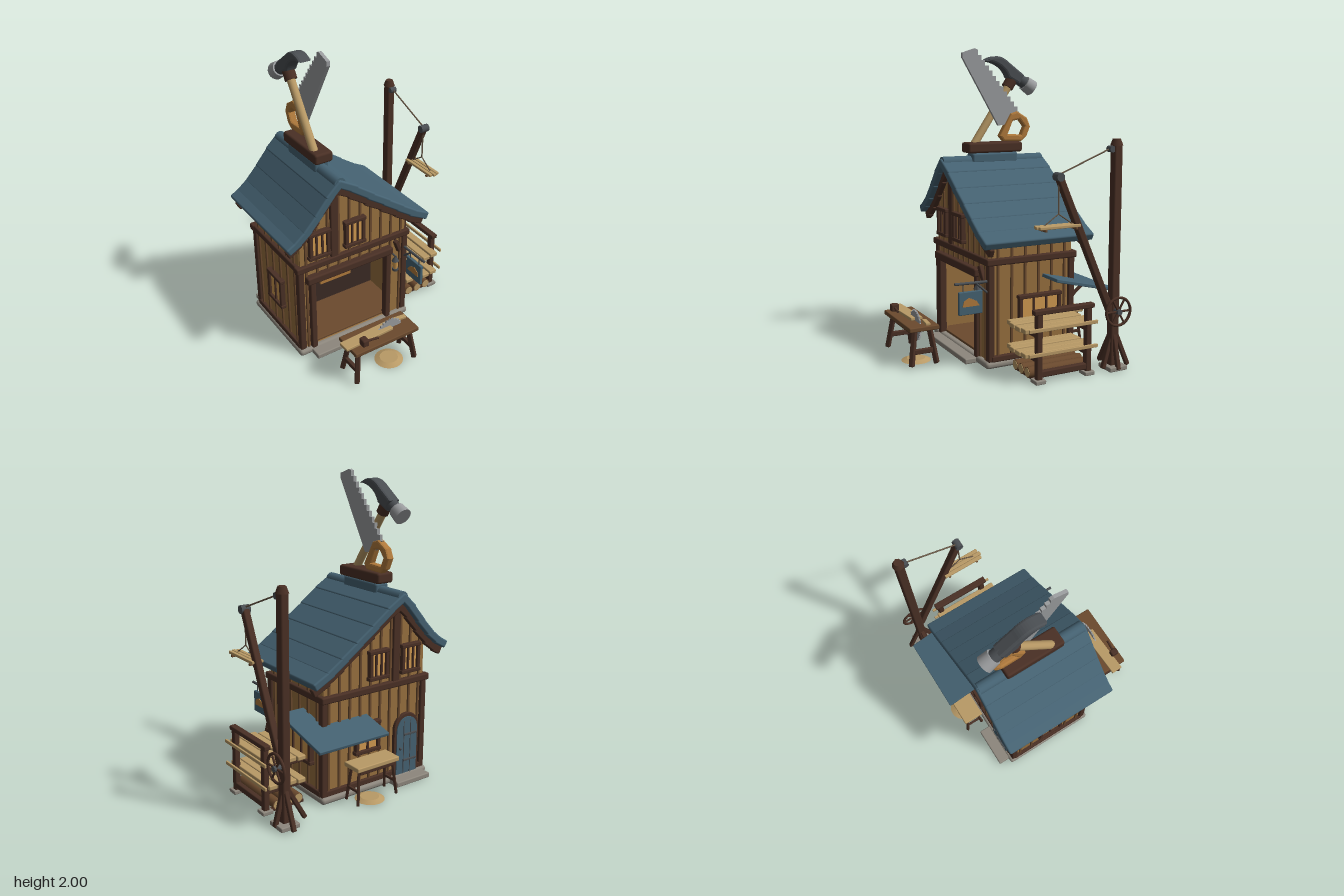
import * as THREE from 'three';
import { RoundedBoxGeometry } from 'three/addons/geometries/RoundedBoxGeometry.js';

const DARK = 0x4a3025, MID = 0x6b4a2e, WALL = 0x98713f, TAN = 0xb99a66, ORANGE = 0xb07a3c, PANE = 0xd09a50;
const BLUE = 0x456272, STONE = 0x8d877d, STEEL = 0x9a9c9e, IRON = 0x4a4e52, ROPE = 0x6b5a48, SHADE = 0x3a2a24;
const mats = {};
const mat = (c) => (mats[c] ??= new THREE.MeshStandardMaterial({ color: c }));
const V = (p) => new THREE.Vector3(...p);

export function createModel() {
  const root = new THREE.Group();
  root.name = 'workshop';
  let target = root;
  const add = (name, color, geo) => {
    const m = new THREE.Mesh(geo, mat(color));
    m.name = name;
    target.add(m);
    return m;
  };
  const group = (name, build) => {
    const g = new THREE.Group(), previous = target;
    g.name = name;
    previous.add(g);
    target = g;
    build();
    target = previous;
    return g;
  };
  // softly rounded box given by its centre
  const box = (name, color, w, h, d, x, y, z) => {
    const m = add(name, color, new RoundedBoxGeometry(w, h, d, 2, Math.min(w, h, d) * 0.22));
    m.position.set(x, y, z);
    return m;
  };
  // squared beam from a to b
  const beam = (name, color, a, b, w, h = w) => {
    const m = box(name, color, w, h, V(a).distanceTo(V(b)), 0, 0, 0);
    m.position.copy(V(a)).lerp(V(b), 0.5);
    m.lookAt(V(b));
    return m;
  };
  // round rod from a to b
  const rod = (name, color, a, b, r, r2 = r, seg = 14) => {
    const d = V(b).sub(V(a));
    const m = add(name, color, new THREE.CylinderGeometry(r2, r, d.length(), seg));
    m.position.copy(V(a)).addScaledVector(d, 0.5);
    m.quaternion.setFromUnitVectors(new THREE.Vector3(0, 1, 0), d.normalize());
    return m;
  };
  const shapeOf = (pts) => new THREE.Shape(pts.map((p) => new THREE.Vector2(...p)));
  // plate cut from an outline, centred in its thickness
  const plate = (name, color, shape, depth, bevel = 0, hole) => {
    if (hole) shape.holes.push(new THREE.Path(hole.map((p) => new THREE.Vector2(...p))));
    const geo = new THREE.ExtrudeGeometry(shape, { depth: depth - 2 * bevel, bevelEnabled: bevel > 0, bevelSize: bevel, bevelThickness: bevel, bevelOffset: -bevel, bevelSegments: 2 });
    return add(name, color, geo.translate(0, 0, bevel - depth / 2));
  };
  // plate whose outline is given as (z, y)
  const sidePlate = (name, color, shape, depth, x, bevel, hole) => {
    const m = plate(name, color, shape, depth, bevel, hole);
    m.rotation.y = -Math.PI / 2;
    m.position.x = x;
    return m;
  };

  // foundation and steps
  const base = box('foundation', STONE, 0.86, 0.045, 0.66, -0.155, 0.0225, -0.12);
  base.geometry = new RoundedBoxGeometry(0.86, 0.045, 0.66, 3, 0.02);
  box('frontStep', STONE, 0.62, 0.035, 0.14, -0.19, 0.0175, 0.215);
  box('backStep', STONE, 0.28, 0.035, 0.12, -0.405, 0.0175, -0.465);

  // walls
  const gable = () => shapeOf([[-0.55, 0.03], [0.245, 0.03], [0.245, 0.82], [-0.3, 1.2], [-0.55, 0.94]]);
  plate('frontWall', WALL, gable(), 0.03, 0, [[-0.47, 0.045], [-0.47, 0.58], [0.11, 0.58], [0.11, 0.045]]).position.z = 0.165;
  plate('backWall', WALL, gable(), 0.03).position.z = -0.4;
  box('leftWall', WALL, 0.03, 0.8, 0.57, 0.235, 0.43, -0.12);
  box('rightWall', WALL, 0.03, 0.91, 0.57, -0.54, 0.485, -0.12);

  // inside of the shop
  box('shopFloor', MID, 0.77, 0.02, 0.36, -0.15, 0.05, -0.01);
  box('shopBackWall', SHADE, 0.77, 0.58, 0.02, -0.15, 0.33, -0.185);
  box('shopCeiling', SHADE, 0.77, 0.02, 0.36, -0.15, 0.61, -0.01);
  box('toolBoard', ORANGE, 0.25, 0.24, 0.02, -0.09, 0.33, -0.165);
  box('hangingBlade', STEEL, 0.11, 0.035, 0.012, -0.135, 0.375, -0.15).rotation.z = -0.2;
  box('hangingChisel', DARK, 0.02, 0.12, 0.015, -0.025, 0.37, -0.15);

  // timber frame
  for (const z of [0.17, -0.41]) {
    for (const x of [-0.55, 0.245]) box('cornerPost', DARK, 0.045, 0.64, 0.045, x, 0.36, z);
    box('eaveBeam', DARK, 0.86, 0.045, 0.05, -0.155, 0.68, z + 0.01 * Math.sign(z));
    box('kingPost', DARK, 0.055, 0.5, 0.035, -0.305, 0.94, z + 0.012 * Math.sign(z));
  }
  for (const x of [-0.557, 0.252]) {
    box('sideBeam', DARK, 0.045, 0.045, 0.62, x, 0.68, -0.12);
    box('sillBeam', DARK, 0.04, 0.04, 0.58, x, 0.06, -0.12);
  }
  box('sillBeam', DARK, 0.8, 0.04, 0.035, -0.155, 0.06, -0.415);
  box('openingHeader', DARK, 0.65, 0.055, 0.06, -0.195, 0.59, 0.195);
  for (const x of [-0.475, 0.105]) box('openingPost', DARK, 0.04, 0.55, 0.05, x, 0.31, 0.185);
  beam('cornerBrace', DARK, [0.2, 0.55, 0.19], [0.16, 0.645, 0.2], 0.03);

  // wall battens, stopped under the roof or over the opening
  const under = (x) => (x < -0.3 ? 1.2 + (x + 0.3) * 1.04 : 1.2 - (x + 0.3) * 0.7);
  for (let i = 0; i < 10; i++) {
    const x = -0.51 + i * 0.08, top = under(x) - 0.02, open = x > -0.48 && x < 0.11;
    const low = open ? 0.6 : 0.04;
    box('frontBatten', MID, 0.017, top - low, 0.016, x, (top + low) / 2, 0.183);
    box('backBatten', MID, 0.017, top - 0.04, 0.016, x, (top + 0.04) / 2, -0.418);
  }
  for (let i = 0; i < 6; i++) {
    const z = -0.36 + i * 0.096;
    box('sideBatten', MID, 0.016, 0.76, 0.017, 0.253, 0.43, z);
    box('sideBatten', MID, 0.016, 0.86, 0.017, -0.558, 0.48, z);
  }

  // windows and door are built facing +z, then turned to their wall
  const windowAt = (x, y, z, turn, w, h, panes) => {
    const g = group('window', () => {
      box('pane', PANE, w, h, 0.02, 0, 0, 0.01);
      for (const s of [-1, 1]) {
        box('frameSide', DARK, 0.025, h + 0.02, 0.035, s * w / 2, 0, 0.018);
        box('frameRail', DARK, w + 0.035, 0.025, 0.04, 0, s * h / 2, 0.018);
      }
      for (let i = 1; i < panes; i++) box('mullion', DARK, 0.014, h, 0.03, -w / 2 + (w * i) / panes, 0, 0.016);
    });
    g.position.set(x, y, z);
    g.rotation.y = turn;
  };
  for (const x of [-0.42, -0.16]) {
    windowAt(x, 0.835, 0.18, 0, 0.125, 0.17, 3);
    windowAt(x, 0.835, -0.415, Math.PI, 0.125, 0.17, 3);
  }
  windowAt(0.25, 0.34, -0.17, Math.PI / 2, 0.28, 0.2, 3);
  windowAt(-0.555, 0.36, -0.12, -Math.PI / 2, 0.16, 0.2, 2);
  windowAt(-0.08, 0.37, -0.415, Math.PI, 0.17, 0.18, 2);
  const door = group('backDoor', () => {
    const arch = (r, h) => {
      const s = new THREE.Shape();
      s.moveTo(-r, 0).lineTo(r, 0).lineTo(r, h).absarc(0, h, r, 0, Math.PI).lineTo(-r, 0);
      return s;
    };
    plate('doorFrame', DARK, arch(0.105, 0.32), 0.04, 0.006);
    plate('doorLeaf', BLUE, arch(0.085, 0.315), 0.052);
    for (const x of [-0.028, 0.028]) box('doorGroove', IRON, 0.006, 0.37, 0.01, x, 0.19, 0.024);
    for (const y of [0.1, 0.28]) box('doorHinge', IRON, 0.11, 0.014, 0.012, 0.025, y, 0.028);
    add('doorKnob', IRON, new THREE.SphereGeometry(0.01, 10, 8)).position.set(-0.06, 0.19, 0.032);
  });
  door.position.set(-0.41, 0.035, -0.415);
  door.rotation.y = Math.PI;

  // roof: overlapping rows of shingles along the curved slope, with bargeboards beneath
  group('roof', () => {
    const slopes = [
      [[-0.305, 1.25], [-0.37, 1.185], [-0.45, 1.085], [-0.53, 0.995], [-0.6, 0.935], [-0.65, 0.905]],
      [[-0.295, 1.25], [-0.2, 1.19], [-0.08, 1.1], [0.04, 1.015], [0.15, 0.935], [0.25, 0.865], [0.35, 0.81]],
    ];
    slopes.forEach((pts) => {
      pts.slice(1).forEach((q, i) => {
        const p = pts[i], dx = q[0] - p[0], dy = q[1] - p[1], len = Math.hypot(dx, dy);
        const row = box('roofRow', BLUE, len + 0.045, 0.052, 0.775, (p[0] + q[0]) / 2, (p[1] + q[1]) / 2, -0.118);
        row.rotation.z = Math.atan(dy / dx) + 0.03 * Math.sign(dx);
        for (const z of [0.215, -0.455]) beam('bargeboard', DARK, [p[0] - dx * 0.08, p[1] - 0.055, z], [q[0] + dx * 0.08, q[1] - 0.055, z], 0.035, 0.055);
      });
    });
    rod('ridgeCap', BLUE, [-0.298, 1.252, 0.255], [-0.298, 1.252, -0.49], 0.04);
    box('ridgeSaddle', BLUE, 0.1, 0.07, 0.34, -0.298, 1.275, -0.12);
  });

  // rooftop emblem: giant handsaw and hammer on a plinth
  group('rooftopTools', () => {
    box('plinth', DARK, 0.125, 0.07, 0.405, -0.3, 1.345, -0.118);
    const blade = [[-0.15, 1.49], [0.115, 1.94], [0.115, 1.97], [0.025, 2]];
    for (let i = 0; i < 12; i++) {
      const t = (i + 0.35) / 12, z = 0.025 - 0.325 * t, y = 2 - 0.41 * t;
      blade.push([z - 0.012, y + 0.004], [z - 0.012, y - 0.03]);
    }
    blade.push([-0.31, 1.58], [-0.24, 1.5]);
    sidePlate('sawBlade', STEEL, shapeOf(blade.reverse()), 0.022, -0.278);
    sidePlate('sawHandle', ORANGE,
      shapeOf([[-0.155, 1.42], [-0.185, 1.385], [-0.32, 1.38], [-0.36, 1.41], [-0.39, 1.48], [-0.365, 1.54], [-0.29, 1.585], [-0.24, 1.57]]),
      0.055, -0.278, 0.012, [[-0.215, 1.43], [-0.255, 1.52], [-0.305, 1.53], [-0.345, 1.48], [-0.32, 1.425]]);
    rod('hammerHandle', TAN, [-0.325, 1.36, 0.01], [-0.325, 1.77, -0.265], 0.027);
    rod('hammerCollar', DARK, [-0.325, 1.745, -0.245], [-0.325, 1.805, -0.285], 0.04);
    const head = new THREE.Shape();
    head.moveTo(-0.06, 1.92);
    head.quadraticCurveTo(-0.16, 1.99, -0.25, 1.91).lineTo(-0.36, 1.83).lineTo(-0.325, 1.765).lineTo(-0.24, 1.81);
    head.quadraticCurveTo(-0.2, 1.91, -0.06, 1.92);
    sidePlate('hammerHead', IRON, head, 0.085, -0.325, 0.014);
    rod('hammerNeck', IRON, [-0.325, 1.81, -0.32], [-0.325, 1.768, -0.39], 0.04);
    rod('hammerFace', STEEL, [-0.325, 1.776, -0.378], [-0.325, 1.738, -0.438], 0.05, 0.056, 18);
  });

  // awning over the back corner with props
  beam('awning', BLUE, [0.17, 0.56, -0.2], [0.17, 0.455, -0.635], 0.52, 0.022);
  for (const x of [-0.03, 0.2]) beam('awningStrut', DARK, [x, 0.36, -0.42], [x, 0.47, -0.56], 0.02);

  // trestle benches
  const trestle = (name, color, x0, x1, z0, z1, y, leg) => group(name, () => {
    const cx = (x0 + x1) / 2, cz = (z0 + z1) / 2, dx = (x1 - x0) / 2, dz = (z1 - z0) / 2;
    box('benchTop', color, 2 * dx, 0.03, 2 * dz, cx, y, cz);
    for (const s of [-1, 1]) {
      for (const t of [-1, 1]) beam('benchLeg', DARK, [cx + s * dx * 0.8, y - 0.01, cz + t * dz * 0.5], [cx + s * dx * 0.93, 0.012, cz + t * dz * 0.85], leg);
      box('legRail', DARK, leg * 0.8, leg, dz * 1.3, cx + s * dx * 0.88, 0.1, cz);
      box('topRail', DARK, dx * 1.6, 0.03, 0.018, cx, y - 0.03, cz + s * dz * 0.6);
    }
  });
  trestle('frontBench', MID, -0.43, 0.05, 0.43, 0.63, 0.25, 0.032);
  trestle('backBench', TAN, -0.21, 0.12, -0.6, -0.46, 0.25, 0.018);
  box('benchPlank', TAN, 0.36, 0.02, 0.08, -0.285, 0.275, 0.53).rotation.y = 0.04;
  box('offcut', TAN, 0.1, 0.018, 0.03, -0.015, 0.272, 0.495).rotation.y = -0.12;
  box('malletHead', DARK, 0.045, 0.05, 0.055, -0.343, 0.3, 0.588);
  rod('malletHandle', DARK, [-0.33, 0.3, 0.59], [-0.245, 0.295, 0.6], 0.008);
  const sawDisc = new THREE.Shape();
  for (let i = 0; i < 48; i++) {
    const a = (i / 48) * Math.PI * 2, r = i % 2 ? 0.088 : 0.1;
    sawDisc[i ? 'lineTo' : 'moveTo'](Math.cos(a) * r, Math.sin(a) * r);
  }
  plate('circularSaw', STEEL, sawDisc, 0.01).position.set(-0.11, 0.235, 0.53);
  rod('sawHub', IRON, [-0.11, 0.235, 0.51], [-0.11, 0.235, 0.55], 0.016);
  for (const [x, z] of [[-0.11, 0.53], [-0.03, -0.53]]) rod('sawdustPile', TAN, [x, 0.002, z], [x, 0.018, z], 0.095, 0.06, 20);

  // lumber rack beside the house
  group('lumberRack', () => {
    for (const z of [0.03, -0.315]) {
      box('rackPost', DARK, 0.04, 0.42, 0.04, 0.605, 0.22, z);
      box('rackFoot', STONE, 0.075, 0.025, 0.07, 0.605, 0.0125, z);
      for (const y of [0.3, 0.15]) box('rackArm', DARK, 0.29, 0.025, 0.03, 0.48, y - 0.012, z);
      box('rackSleeper', DARK, 0.29, 0.02, 0.03, 0.48, 0.012, z);
    }
    box('rackTopRail', DARK, 0.045, 0.03, 0.42, 0.605, 0.435, -0.142);
    box('rackBottomRail', DARK, 0.035, 0.04, 0.36, 0.605, 0.055, -0.142);
    for (const y of [0.318, 0.168]) {
      for (let i = 0; i < 4; i++) {
        box('plank', TAN, 0.058, 0.03, 0.47 + 0.015 * (i % 3), 0.37 + i * 0.066, y + 0.004 * (i % 2), -0.13 + 0.012 * (i % 2));
      }
      box('guardBoard', TAN, 0.014, 0.022, 0.48, 0.632, y + 0.015, -0.13);
    }
    for (const x of [0.39, 0.465, 0.54]) {
      rod('log', MID, [x, 0.052, -0.35], [x, 0.052, 0.07], 0.033);
      rod('logEnd', TAN, [x, 0.052, -0.353], [x, 0.052, 0.073], 0.028);
    }
  });

  // crane with leaning boom, hand wheel and hanging load
  group('crane', () => {
    box('craneFoot', STONE, 0.13, 0.03, 0.13, 0.595, 0.015, -0.515);
    box('mast', DARK, 0.055, 1.4, 0.06, 0.593, 0.71, -0.51);
    rod('mastCap', DARK, [0.593, 1.4, -0.51], [0.593, 1.44, -0.51], 0.04, 0.025, 8);
    for (const [x, z] of [[0.66, -0.51], [0.45, -0.51], [0.6, -0.62], [0.6, -0.435]]) beam('mastBrace', DARK, [0.595, 0.27, -0.51], [x, 0.012, z], 0.028);
    beam('boom', DARK, [0.595, 0.36, -0.49], [0.595, 1.24, -0.1], 0.045);
    rod('pulley', IRON, [0.565, 1.23, -0.102], [0.625, 1.23, -0.102], 0.026);
    rod('mastPulley', IRON, [0.57, 1.38, -0.47], [0.615, 1.38, -0.47], 0.02);
    rod('hoistRope', ROPE, [0.593, 1.385, -0.47], [0.593, 1.24, -0.1], 0.005, 0.005, 6);
    rod('loadRope', ROPE, [0.593, 1.23, -0.105], [0.593, 1.01, -0.105], 0.005, 0.005, 6);
    for (const z of [0.0, -0.21]) {
      rod('sling', ROPE, [0.593, 1.01, -0.105], [0.593, 0.94, z], 0.004, 0.004, 6);
      box('slingBar', MID, 0.085, 0.015, 0.015, 0.593, 0.922, z);
    }
    for (let i = 0; i < 3; i++) box('loadPlank', TAN, 0.024, 0.018, 0.28, 0.566 + i * 0.027, 0.937, -0.1 + 0.01 * (i % 2));
    const rim = add('wheelRim', DARK, new THREE.TorusGeometry(0.088, 0.009, 8, 28));
    rim.position.set(0.648, 0.38, -0.51);
    rim.rotation.y = Math.PI / 2;
    for (let i = 0; i < 3; i++) {
      const c = Math.cos(i * Math.PI / 3) * 0.086, s = Math.sin(i * Math.PI / 3) * 0.086;
      rod('wheelSpoke', DARK, [0.648, 0.38 - s, -0.51 - c], [0.648, 0.38 + s, -0.51 + c], 0.007, 0.007, 8);
    }
    rod('wheelAxle', IRON, [0.6, 0.38, -0.51], [0.668, 0.38, -0.51], 0.018);
  });

  // hanging sign and lantern
  group('hangingSign', () => {
    rod('signBracket', IRON, [0.245, 0.56, 0.17], [0.245, 0.565, 0.41], 0.009);
    rod('bracketStay', IRON, [0.245, 0.49, 0.19], [0.245, 0.56, 0.27], 0.007);
    for (const z of [0.26, 0.355]) rod('signLink', IRON, [0.245, 0.56, z], [0.245, 0.5, z], 0.004, 0.004, 6);
    box('signBoard', BLUE, 0.022, 0.145, 0.16, 0.245, 0.44, 0.307);
    sidePlate('signPlaneShape', ORANGE, shapeOf([[0.25, 0.42], [0.365, 0.42], [0.355, 0.455], [0.32, 0.475], [0.27, 0.45]]), 0.03, 0.245);
  });
  group('lantern', () => {
    rod('lanternHook', IRON, [0.155, 0.53, 0.18], [0.155, 0.53, 0.225], 0.006);
    rod('lanternCap', IRON, [0.155, 0.495, 0.215], [0.155, 0.53, 0.215], 0.026, 0.006, 8);
    rod('lanternGlass', PANE, [0.155, 0.435, 0.215], [0.155, 0.495, 0.215], 0.016, 0.02, 8);
    rod('lanternBase', IRON, [0.155, 0.42, 0.215], [0.155, 0.438, 0.215], 0.022, 0.022, 8);
  });
  return root;
}
